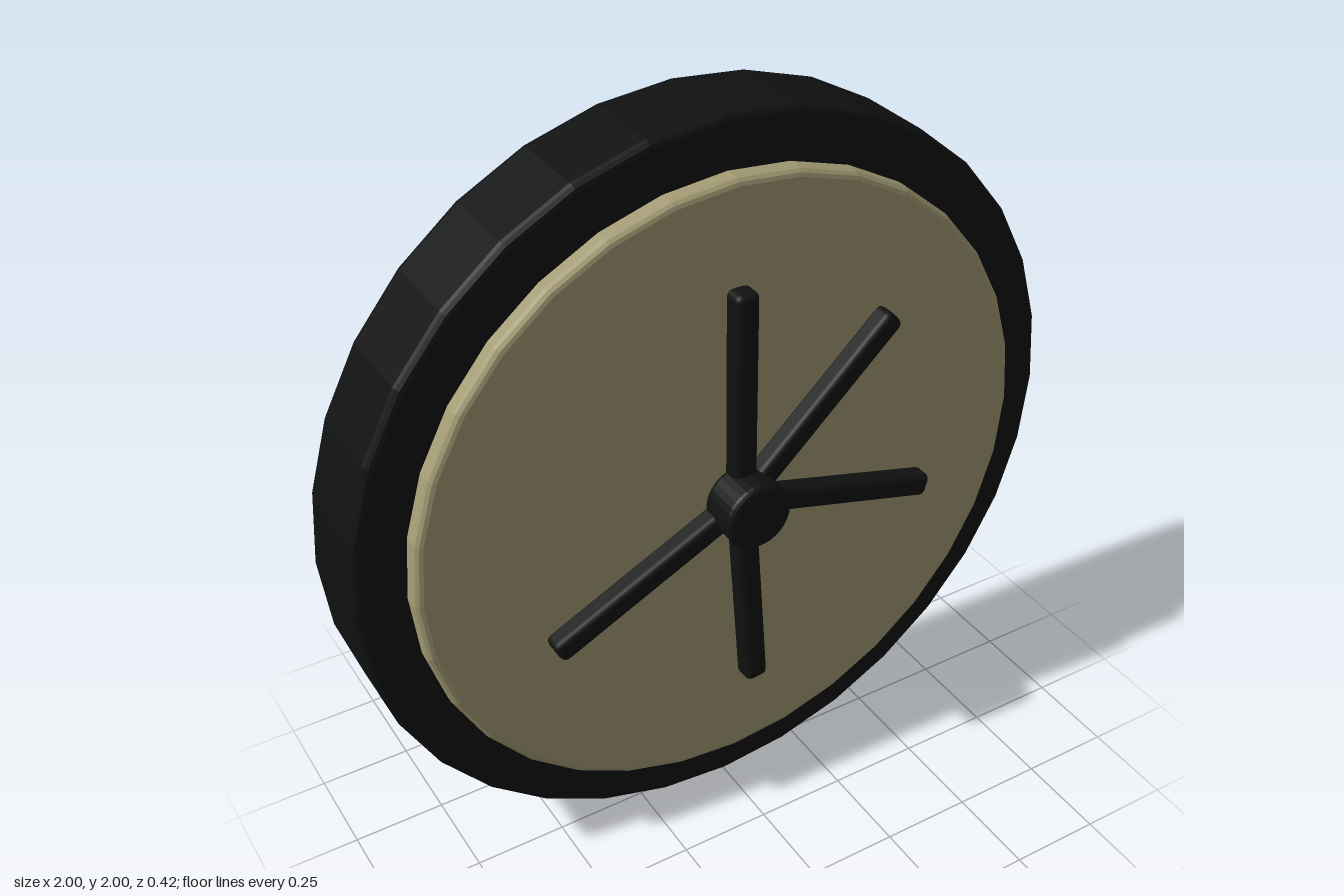
import * as THREE from 'three';
import { RoundedBoxGeometry } from 'three/addons/geometries/RoundedBoxGeometry.js';

const black = new THREE.MeshStandardMaterial({ color: 0x101111 });
black.name = 'black';
const tan = new THREE.MeshStandardMaterial({ color: 0xa39b74 });
tan.name = 'tan';

// Faceted disc along z with rounded rims
function disc(name, radius, back, front, bevel, sides, material) {
  const profile = [new THREE.Vector2(0, back)];
  const steps = 3;
  for (let i = 0; i <= steps; i++) {
    const a = (i / steps) * Math.PI / 2;
    profile.push(new THREE.Vector2(radius - bevel + bevel * Math.sin(a), back + bevel - bevel * Math.cos(a)));
  }
  for (let i = 0; i <= steps; i++) {
    const a = (i / steps) * Math.PI / 2;
    profile.push(new THREE.Vector2(radius - bevel + bevel * Math.cos(a), front - bevel + bevel * Math.sin(a)));
  }
  profile.push(new THREE.Vector2(0, front));
  const geometry = new THREE.LatheGeometry(profile, sides).rotateX(Math.PI / 2).toNonIndexed();
  geometry.computeVertexNormals(); // flat facets
  const mesh = new THREE.Mesh(geometry, material);
  mesh.name = name;
  return mesh;
}

export function createModel() {
  const model = new THREE.Group();
  model.name = 'spokedDisc';

  // Body, raised face plate and central hub
  model.add(
    disc('body', 1, -0.21, 0.045, 0.02, 32, black),
    disc('facePlate', 0.867, 0.03, 0.096, 0.02, 32, tan),
    disc('hub', 0.092, 0.09, 0.21, 0.015, 32, black)
  );

  // Five unevenly spaced spokes
  const length = 0.595;
  const bar = new RoundedBoxGeometry(length, 0.065, 0.065, 2, 0.018).translate(length / 2, 0, 0.115);
  for (const degrees of [90, 43, -15, -86, -154.5]) {
    const spoke = new THREE.Mesh(bar, black);
    spoke.name = 'spoke';
    spoke.rotation.z = THREE.MathUtils.degToRad(degrees);
    model.add(spoke);
  }

  // Stand on the ground
  for (const part of model.children) part.position.y = 1;
  return model;
}
